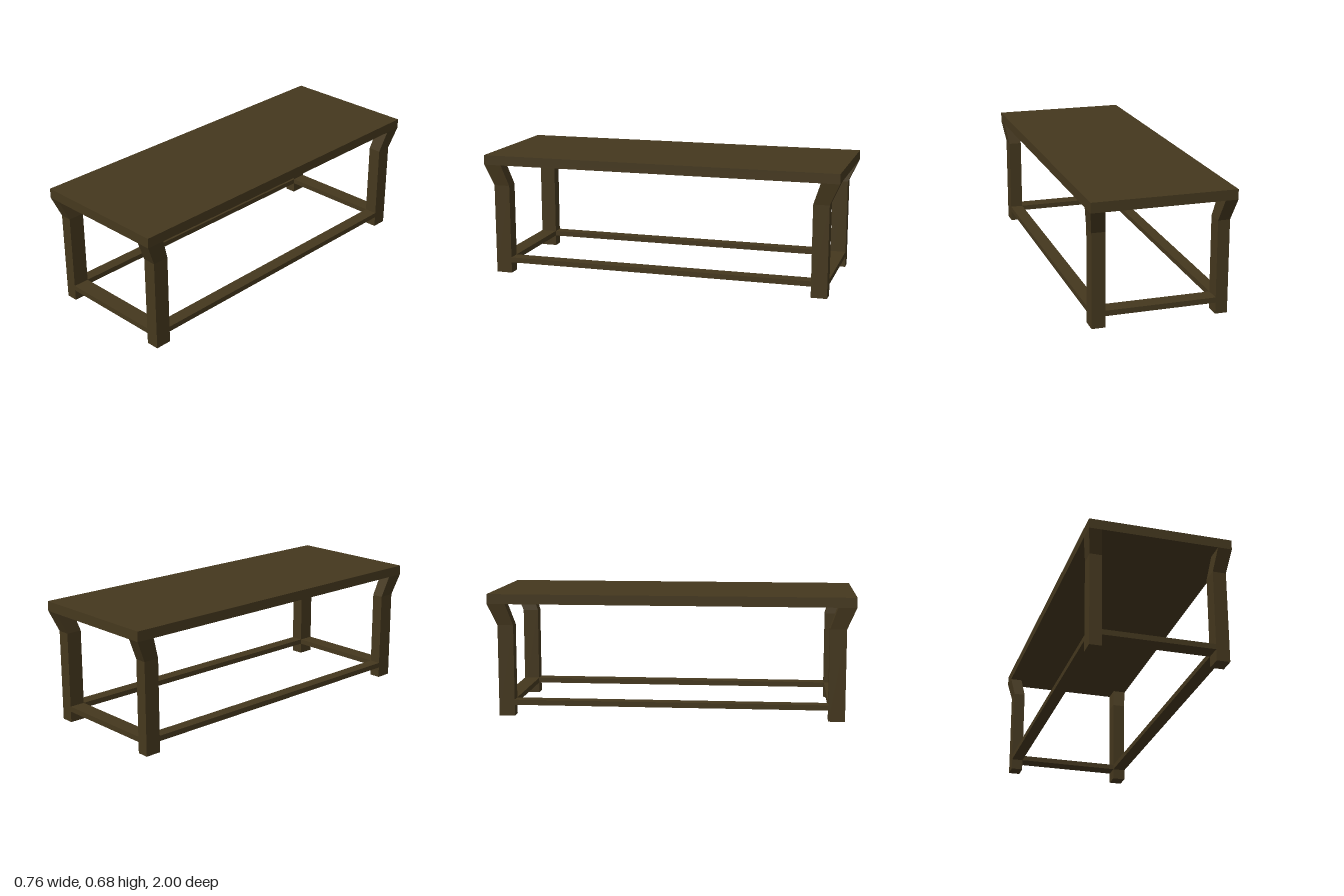
import * as THREE from 'three';

const wood = new THREE.MeshStandardMaterial({ color: 0x45381e, flatShading: true });

// Box given by its lower and upper limits on each axis
function bar(name, [x0, x1], [y0, y1], [z0, z1]) {
  const mesh = new THREE.Mesh(new THREE.BoxGeometry(x1 - x0, y1 - y0, z1 - z0), wood);
  mesh.position.set((x0 + x1) / 2, (y0 + y1) / 2, (z0 + z1) / 2);
  mesh.name = name;
  return mesh;
}

const TOP_Y = [0.623, 0.677];
const KNEE_Y = 0.505;
const STRETCHER_Y = [0.061, 0.09];

// Leg limits [min, max] on x and z: straight post, then where it meets the top
const sidesX = [
  { name: 'Left', post: [0.291, 0.363], head: [0.306, 0.382] },
  { name: 'Right', post: [-0.365, -0.3], head: [-0.383, -0.315] },
];
const endsZ = [
  { name: 'front', post: [0.86, 0.95], head: [0.9, 1] },
  { name: 'back', post: [-0.947, -0.86], head: [-1, -0.9] },
];

// Straight post whose upper section flares outward to the tabletop corner
function leg(name, sx, sz) {
  const geometry = new THREE.BoxGeometry(1, 1, 1, 1, 2, 1);
  const p = geometry.attributes.position;
  for (let i = 0; i < p.count; i++) {
    const level = Math.round(p.getY(i) * 2) + 1;
    const part = level === 2 ? 'head' : 'post';
    p.setXYZ(i,
      sx[part][p.getX(i) > 0 ? 1 : 0],
      [0, KNEE_Y, TOP_Y[0]][level],
      sz[part][p.getZ(i) > 0 ? 1 : 0]);
  }
  const flat = geometry.toNonIndexed();
  flat.computeVertexNormals();
  const mesh = new THREE.Mesh(flat, wood);
  mesh.name = name;
  return mesh;
}

export function createModel() {
  const table = new THREE.Group();
  table.name = 'table';
  table.add(bar('tabletop', [-0.383, 0.382], TOP_Y, [-1, 1]));

  // Four legs
  for (const sx of sidesX) for (const sz of endsZ) {
    table.add(leg(`${sz.name}${sx.name}Leg`, sx, sz));
  }

  // Stretchers as wide as the legs, joining them near the floor
  for (const sz of endsZ) {
    table.add(bar(`${sz.name}Stretcher`, [-0.3, 0.291], STRETCHER_Y, sz.post));
  }
  for (const sx of sidesX) {
    table.add(bar(`${sx.name.toLowerCase()}Stretcher`, sx.post, STRETCHER_Y, [-0.86, 0.86]));
  }
  return table;
}
